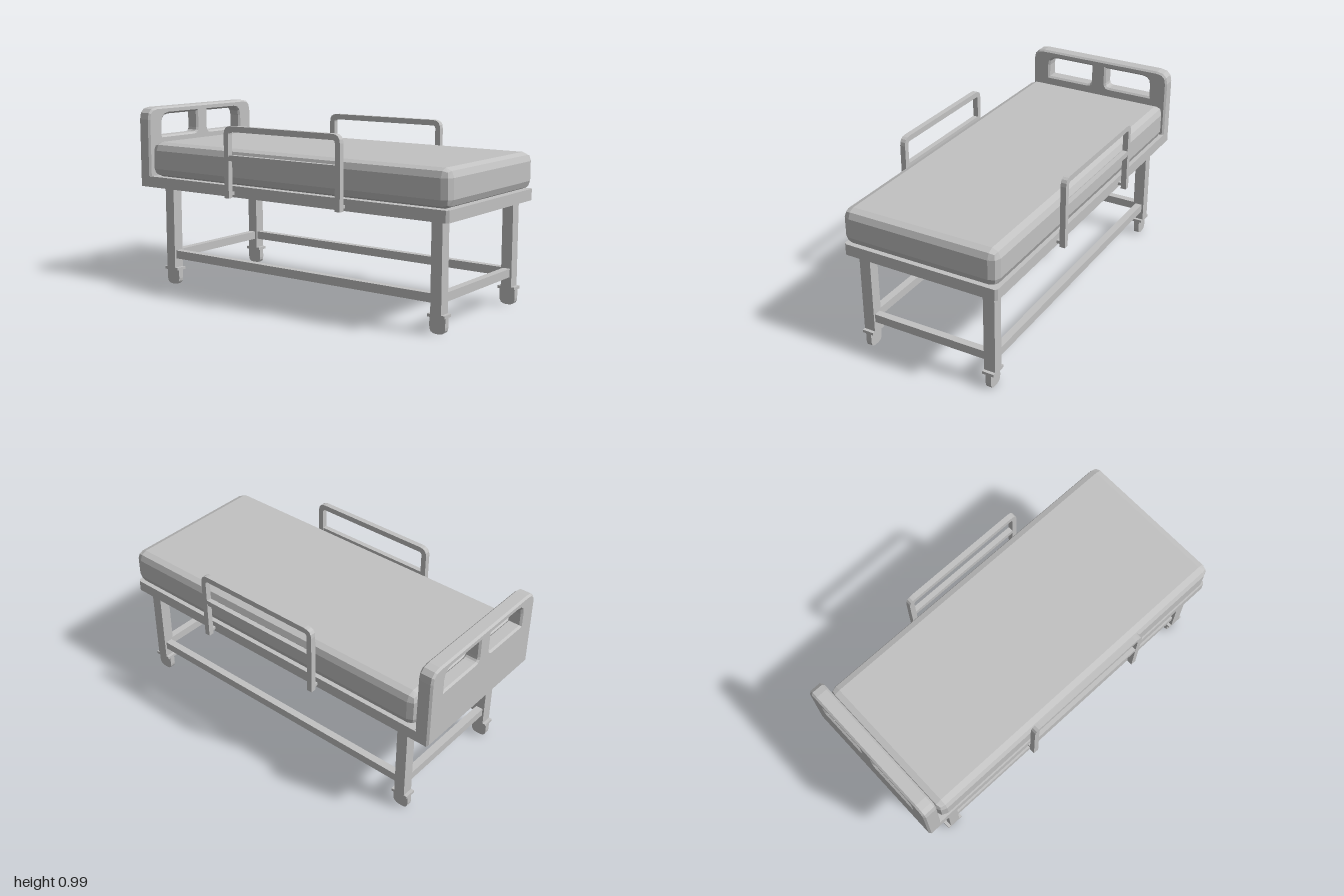
import * as THREE from 'three';
import { RoundedBoxGeometry } from 'three/addons/geometries/RoundedBoxGeometry.js';

const grey = new THREE.MeshStandardMaterial({ color: 0xc2c2c2, flatShading: true });
grey.name = 'painted grey';

function add(parent, name, geometry, x = 0, y = 0, z = 0) {
  const mesh = new THREE.Mesh(geometry, grey);
  mesh.name = name;
  mesh.position.set(x, y, z);
  parent.add(mesh);
  return mesh;
}

// Box given by its lower and upper limits on each axis
function addBox(parent, name, [x0, x1], [y0, y1], [z0, z1]) {
  return add(parent, name, new THREE.BoxGeometry(x1 - x0, y1 - y0, z1 - z0),
    (x0 + x1) / 2, (y0 + y1) / 2, (z0 + z1) / 2);
}

// Rectangle with a radius per corner: bottom left, bottom right, top right, top left
function roundRect(path, x0, y0, x1, y1, [bl, br, tr, tl]) {
  path.moveTo(x0 + bl, y0);
  path.lineTo(x1 - br, y0);
  if (br) path.quadraticCurveTo(x1, y0, x1, y0 + br);
  path.lineTo(x1, y1 - tr);
  if (tr) path.quadraticCurveTo(x1, y1, x1 - tr, y1);
  path.lineTo(x0 + tl, y1);
  if (tl) path.quadraticCurveTo(x0, y1, x0, y1 - tl);
  path.lineTo(x0, y0 + bl);
  if (bl) path.quadraticCurveTo(x0, y0, x0 + bl, y0);
  return path;
}

// Outline drawn in z and y, extruded across x and centred on x = 0
function sideExtrude(shape, width, curveSegments = 4) {
  const g = new THREE.ExtrudeGeometry(shape, { depth: width, bevelEnabled: false, curveSegments });
  g.translate(0, 0, -width / 2);
  g.rotateY(-Math.PI / 2);
  return g;
}

export function createModel() {
  const bed = new THREE.Group();
  bed.name = 'hospitalBed';

  // Bed frame with clipped vertical corners
  const c = 0.012;
  const plan = roundRect(new THREE.Shape(), -0.43, -0.995, 0.43, 0.995, [c, c, c, c]);
  const frame = new THREE.ExtrudeGeometry(plan, { depth: 0.06, bevelEnabled: false, curveSegments: 1 });
  frame.rotateX(-Math.PI / 2);
  add(bed, 'frame', frame, 0, 0.55, 0);

  // Mattress
  add(bed, 'mattress', new RoundedBoxGeometry(0.86, 0.192, 1.91, 1, 0.045), 0, 0.706, 0.043);

  // Headboard with two hand openings
  const board = roundRect(new THREE.Shape(), -0.43, 0.55, 0.43, 0.99, [0, 0, 0.065, 0.065]);
  board.holes.push(
    roundRect(new THREE.Path(), -0.325, 0.83, -0.045, 0.95, [0, 0.025, 0, 0.05]),
    roundRect(new THREE.Path(), 0.045, 0.83, 0.325, 0.95, [0.025, 0, 0.05, 0]));
  const bevel = 0.01;
  add(bed, 'headboard', new THREE.ExtrudeGeometry(board, {
    depth: 0.08 - 2 * bevel, curveSegments: 3,
    bevelSize: bevel, bevelThickness: bevel, bevelOffset: -bevel, bevelSegments: 1,
  }), 0, 0, -1 + bevel);

  // Legs with casters
  const legZ = [0.91, -0.82];
  const wheel = sideExtrude(roundRect(new THREE.Shape(), -0.044, 0, 0.044, 0.09, [0.035, 0.035, 0, 0]), 0.03);
  for (const x of [-0.353, 0.353]) {
    for (const z of legZ) {
      addBox(bed, 'leg', [x - 0.031, x + 0.031], [0.09, 0.56], [z - 0.03, z + 0.03]);
      addBox(bed, 'casterPlate', [x - 0.031, x + 0.031], [0.083, 0.098], [z - 0.048, z + 0.048]);
      add(bed, 'caster', wheel, x, 0, z);
    }
    // Lower side rail
    addBox(bed, 'lowerSideRail', [x - 0.02, x + 0.02], [0.15, 0.195], [legZ[1], legZ[0]]);
  }
  // Lower cross rails
  for (const z of legZ) {
    addBox(bed, 'lowerCrossRail', [-0.35, 0.35], [0.15, 0.195], [z - 0.02, z + 0.02]);
  }

  // Side guards: an arch with a middle bar, pinned to the frame
  const arch = new THREE.Shape();
  const [z0, z1, top, r, t] = [-0.325, 0.42, 0.93, 0.045, 0.03];
  arch.moveTo(z0, 0.55);
  arch.lineTo(z0 + t, 0.55);
  arch.lineTo(z0 + t, top - r);
  arch.quadraticCurveTo(z0 + t, top - t, z0 + r, top - t);
  arch.lineTo(z1 - r, top - t);
  arch.quadraticCurveTo(z1 - t, top - t, z1 - t, top - r);
  arch.lineTo(z1 - t, 0.55);
  arch.lineTo(z1, 0.55);
  arch.lineTo(z1, top - r);
  arch.quadraticCurveTo(z1, top, z1 - r, top);
  arch.lineTo(z0 + r, top);
  arch.quadraticCurveTo(z0, top, z0, top - r);
  arch.closePath();
  const archGeometry = sideExtrude(arch, t);
  for (const side of [-1, 1]) {
    const guard = new THREE.Group();
    guard.name = side > 0 ? 'leftGuard' : 'rightGuard';
    const x = side * 0.465;
    add(guard, 'guardArch', archGeometry, x);
    addBox(guard, 'guardBar', [x - 0.014, x + 0.014], [0.748, 0.778], [z0 + 0.02, z1 - 0.02]);
    for (const z of [z0 + t / 2, z1 - t / 2]) {
      add(guard, 'guardPin', new THREE.BoxGeometry(0.05, 0.016, 0.022), side * 0.438, 0.572, z);
    }
    bed.add(guard);
  }
  return bed;
}
